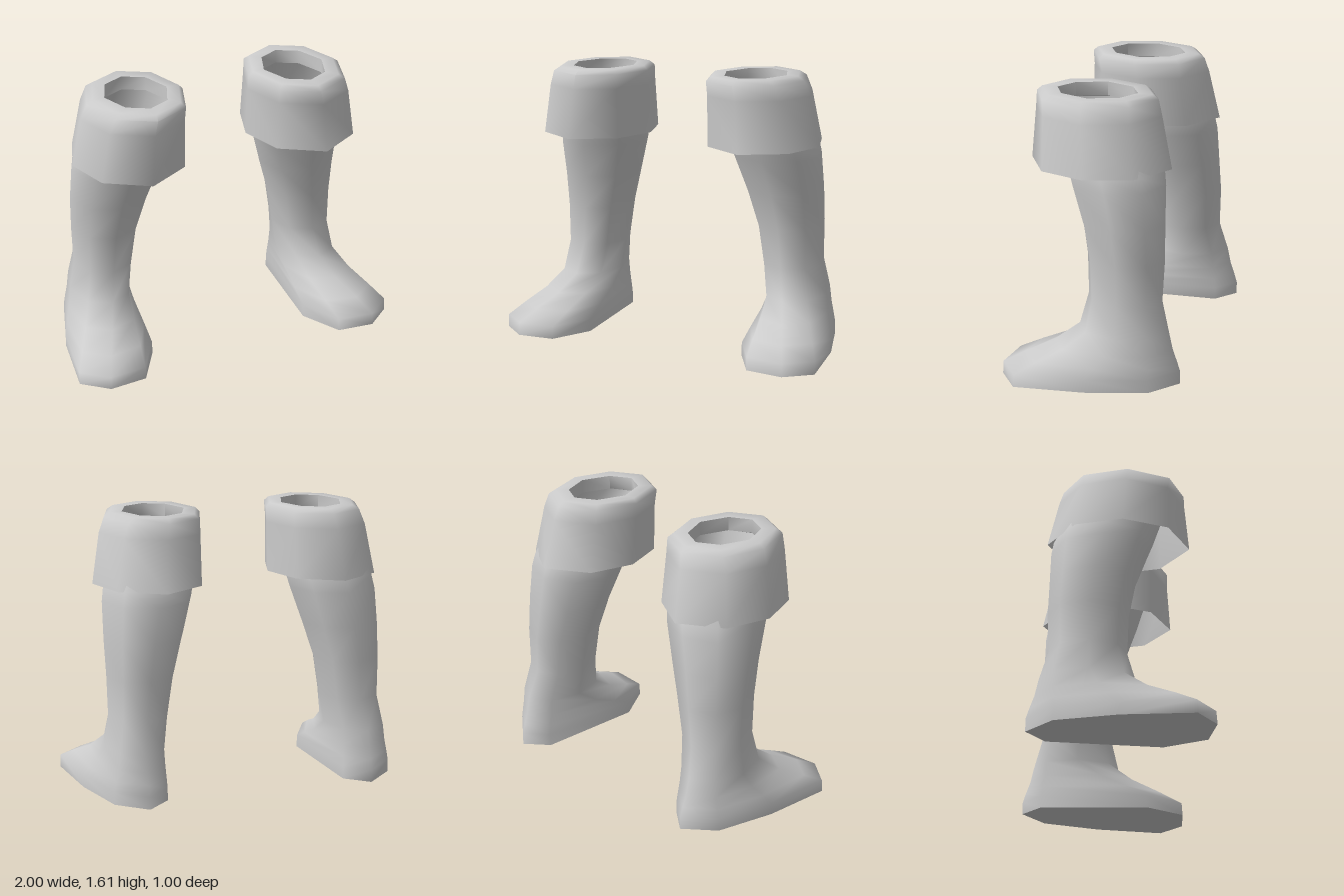
import * as THREE from 'three';
import { toCreasedNormals } from 'three/addons/utils/BufferGeometryUtils.js';

const SIDES = 8;

// Octagonal ring from its extents: inner x, outer x, back z, front z.
// Points run back -> outer -> front -> inner.
function ring(y, x0, x1, z0, z1, dx = 0.72, dz = 0.72) {
  const cx = (x0 + x1) / 2, cz = (z0 + z1) / 2;
  const rx = (x1 - x0) / 2, rz = (z1 - z0) / 2;
  const sx = [0, dx, 1, dx, 0, -dx, -1, -dx];
  const sz = [-1, -dz, 0, dz, 1, dz, 0, -dz];
  return sx.map((s, i) => [cx + s * rx, y, cz + sz[i] * rz]);
}

// Ring between two others, at a given height
function blend(a, b, t, y) {
  return a.map((p, i) => [p[0] + (b[i][0] - p[0]) * t, y, p[2] + (b[i][2] - p[2]) * t]);
}

// Skin stacked rings; side -1 mirrors in x and flips the winding
function loft(rings, side, crease, capBottom = false) {
  const pos = [], index = [];
  const tri = (a, b, c) => (side > 0 ? index.push(a, b, c) : index.push(a, c, b));
  rings.forEach(r => r.forEach(([x, y, z]) => pos.push(x * side, y, z)));
  for (let k = 0; k < rings.length - 1; k++) {
    for (let i = 0; i < SIDES; i++) {
      const a = k * SIDES + i, b = k * SIDES + (i + 1) % SIDES;
      tri(a, a + SIDES, b + SIDES);
      tri(a, b + SIDES, b);
    }
  }
  if (capBottom) {
    const c = pos.length / 3;
    pos.push(0.74 * side, rings[0][0][1], 0.02);
    for (let i = 0; i < SIDES; i++) tri(i, (i + 1) % SIDES, c);
  }
  const g = new THREE.BufferGeometry();
  g.setAttribute('position', new THREE.Float32BufferAttribute(pos, 3));
  g.setIndex(index);
  return toCreasedNormals(g, crease);
}

export function createModel() {
  const model = new THREE.Group();
  model.name = 'bootPair';
  const material = new THREE.MeshStandardMaterial({ color: 0xcccccc, side: THREE.DoubleSide });

  // Sole outline, toe turned outward
  const sole = [
    [0.68, -0.5], [0.85, -0.36], [0.95, -0.02], [1.0, 0.38],
    [0.85, 0.5], [0.63, 0.48], [0.5, 0.25], [0.545, -0.39],
  ].map(([x, z]) => [x, 0, z]);
  const ankle = ring(0.3, 0.505, 0.86, -0.435, 0.09);

  // Foot and shaft, from the sole up to inside the cuff
  const bootRings = [
    sole,
    blend(sole, ankle, 0.01, 0.075),
    blend(sole, ankle, 0.3, 0.135),
    blend(sole, ankle, 0.68, 0.205),
    ankle,
    ring(0.48, 0.475, 0.83, -0.385, 0.045),
    ring(0.71, 0.435, 0.835, -0.393, 0.055),
    ring(0.92, 0.37, 0.84, -0.385, 0.095),
    ring(1.13, 0.305, 0.835, -0.378, 0.17),
    ring(1.21, 0.285, 0.82, -0.365, 0.2),
    ring(1.52, 0.27, 0.71, -0.24, 0.3),
  ];

  // Flared cuff, rounded over the top and turned down into the opening
  const cuffRings = [
    ring(1.21, 0.205, 0.86, -0.4, 0.415, 0.75, 0.64),
    ring(1.5, 0.205, 0.81, -0.335, 0.395, 0.73, 0.67),
    ring(1.585, 0.205, 0.775, -0.31, 0.395, 0.72, 0.7),
    ring(1.61, 0.23, 0.74, -0.275, 0.365, 0.7, 0.7),
    ring(1.61, 0.3, 0.67, -0.19, 0.275, 0.66, 0.72),
    ring(1.53, 0.3, 0.67, -0.19, 0.275, 0.66, 0.72),
    ring(1.52, 0.27, 0.71, -0.24, 0.3),
  ];

  for (const side of [1, -1]) {
    const boot = new THREE.Group();
    boot.name = side > 0 ? 'leftBoot' : 'rightBoot';
    const shaft = new THREE.Mesh(loft(bootRings, side, 1.45, true), material);
    shaft.name = 'footAndShaft';
    const cuff = new THREE.Mesh(loft(cuffRings, side, 1.2), material);
    cuff.name = 'cuff';
    boot.add(shaft, cuff);
    model.add(boot);
  }
  return model;
}
